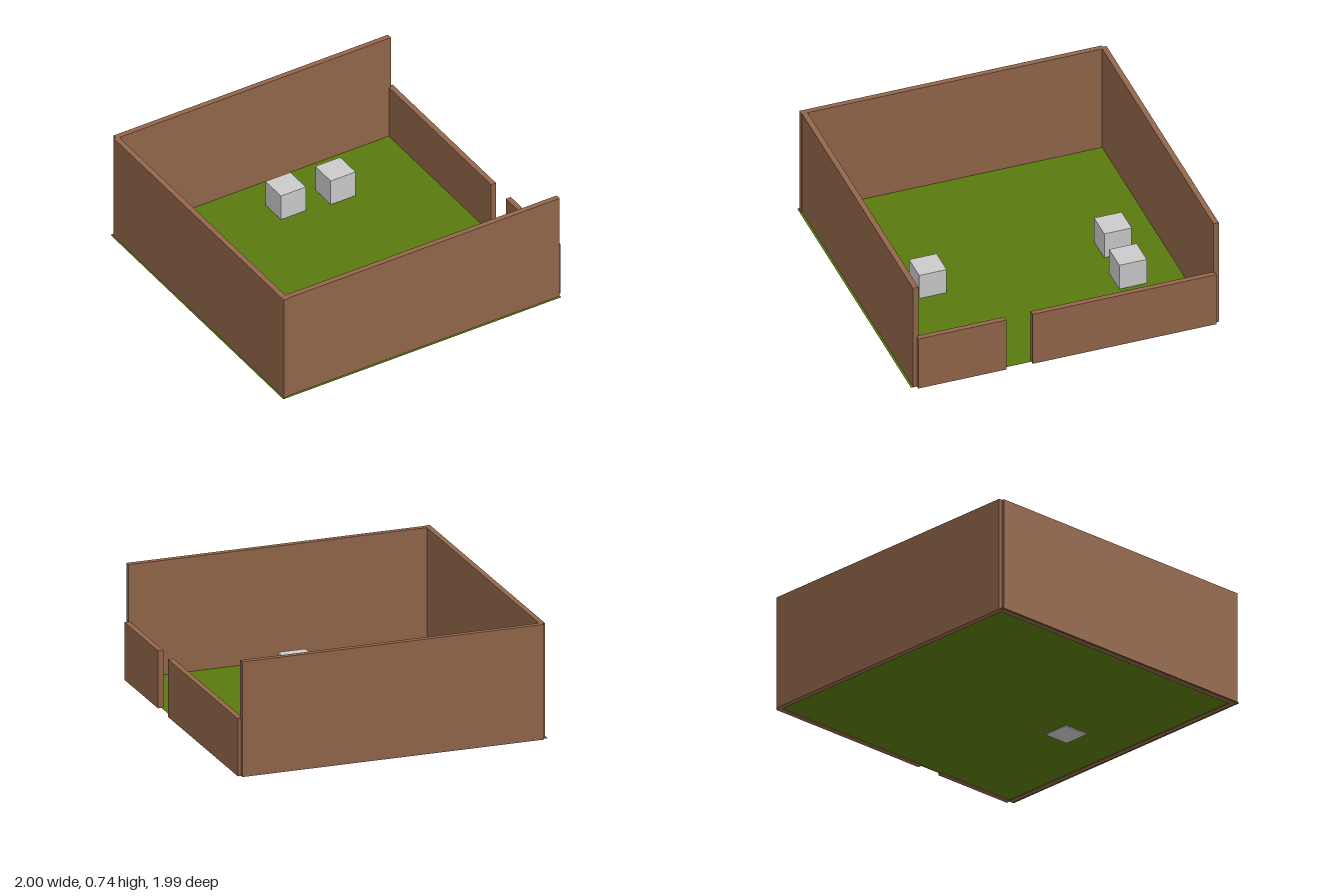
import * as THREE from 'three';

const brown = new THREE.MeshStandardMaterial({ name: 'brown wall', color: 0x93664a });
const green = new THREE.MeshStandardMaterial({ name: 'grass green', color: 0x59790d, side: THREE.DoubleSide });
const grey = new THREE.MeshStandardMaterial({ name: 'light grey', color: 0xcbcbcb });

// Box given by its limits on each axis
function block(name, material, [x0, x1], [y0, y1], [z0, z1]) {
  const mesh = new THREE.Mesh(new THREE.BoxGeometry(x1 - x0, y1 - y0, z1 - z0), material);
  mesh.position.set((x0 + x1) / 2, (y0 + y1) / 2, (z0 + z1) / 2);
  mesh.name = name;
  return mesh;
}

export function createModel() {
  const model = new THREE.Group();
  model.name = 'walledYard';

  // Thin lawn, just above the wall feet
  const lawn = new THREE.Mesh(new THREE.PlaneGeometry(1.98, 1.98), green);
  lawn.name = 'lawn';
  lawn.rotation.x = -Math.PI / 2;
  lawn.position.set(-0.01, 0.006, 0);
  model.add(lawn);

  // Walls: name, x limits, z limits, number of stacked courses
  const base = 0.002, course = 0.368;
  const walls = [
    ['backWall', [-0.975, 0.978], [-0.995, -0.96], 2],
    ['frontWall', [-0.955, 0.975], [0.94, 0.975], 2],
    ['rightWall', [-0.99, -0.955], [-0.97, 0.98], 2],
    ['leftWallBack', [0.963, 0.998], [-0.973, 0.212], 1],
    ['leftWallFront', [0.963, 0.998], [0.38, 0.95], 1],
  ];
  for (const [name, x, z, courses] of walls) {
    const wall = new THREE.Group();
    wall.name = name;
    for (let i = 0; i < courses; i++) {
      const y = base + i * course;
      wall.add(block(`${name}Course${i + 1}`, brown, x, [y, y + course], z));
    }
    model.add(wall);
  }

  // Grey cubes standing on the lawn: left edge, bottom, back edge
  const size = 0.177;
  [[-0.047, 0.012, -0.748], [0.29, 0.012, -0.72], [-0.047, 0, 0.445]].forEach(([x, y, z], i) => {
    model.add(block(`cube${i + 1}`, grey, [x, x + size], [y, y + size], [z, z + size]));
  });

  return model;
}
